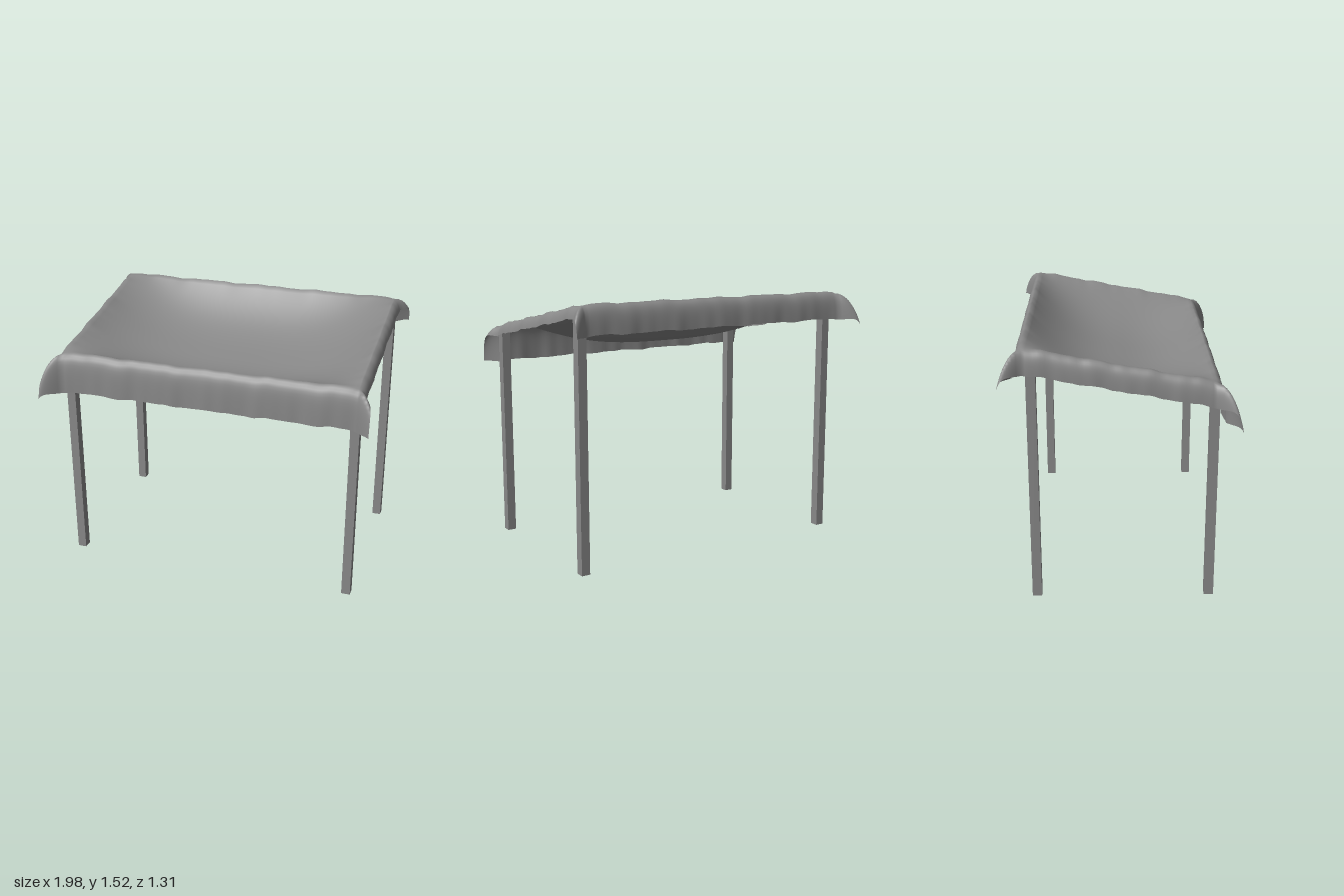
import * as THREE from 'three';

// Inner rectangle of the canopy (where it rests on the posts) and its overhangs
const X0 = -0.87, X1 = 0.90, Z0 = -0.54, Z1 = 0.50;
const HANG = { left: 0.095, right: 0.165, front: 0.265, back: 0.195 };
const BEND = 0.05; // softness of the fold over the rim
const GREY = 0x888888;

const rimHeight = (z) => 1.413 - 0.185 * z;

// Sample positions along one cloth axis: overhang, inner span, overhang
function samples(lo, hi, before, after, inner, outer) {
  const list = [];
  for (let i = 0; i < outer; i++) list.push(lo - before * (1 - i / outer));
  for (let i = 0; i <= inner; i++) list.push(lo + (hi - lo) * i / inner);
  for (let i = 1; i <= outer; i++) list.push(hi + after * i / outer);
  return list;
}

// Small irregular wave used for wrinkles
const wrinkle = (t) =>
  0.5 * Math.sin(17 * t + 0.6) + 0.3 * Math.sin(31 * t + 2.1) + 0.2 * Math.sin(53 * t);

// Maps a flat cloth point (s, t) to its draped place
function drape(s, t, target) {
  const x = THREE.MathUtils.clamp(s, X0, X1);
  const z = THREE.MathUtils.clamp(t, Z0, Z1);
  const ds = Math.abs(s - x), dt = Math.abs(t - z);
  const sx = Math.sign(s - x), sz = Math.sign(t - z);

  // Sag between the posts
  const u = Math.abs(2 * x - X0 - X1) / (X1 - X0);
  const v = Math.abs(2 * z - Z0 - Z1) / (Z1 - Z0);
  let y = rimHeight(z) - 0.2 * (1 - u ** 3) * (1 - v ** 2.6);

  // Wrinkles gather at the rim
  const wave = wrinkle(x) * v ** 16 + wrinkle(z * 1.4 + 1) * u ** 20;
  y += 0.006 * wave;

  // Overhang: rounded fold, then straight down; corners fan outwards
  const rho = Math.hypot(ds, dt);
  let ox = 0, oz = 0;
  if (rho > 0) {
    const spread = ds * dt / (ds + dt);
    const fan = spread * (1.3 - 4 * spread);
    const round = BEND * (1 - Math.exp(-rho / BEND));
    ox = sx * (fan + round * ds / rho + 0.03 * ds * wrinkle(z * 1.3));
    oz = sz * (fan + round * dt / rho + 0.03 * dt * wrinkle(x * 1.2));
    y -= Math.sqrt(Math.max(0, rho * rho - 2 * fan * fan)) - 0.6 * round;
  }
  target.set(x + ox, y, z + oz);
}

function canopyGeometry() {
  const xs = samples(X0, X1, HANG.right, HANG.left, 80, 12);
  const zs = samples(Z0, Z1, HANG.back, HANG.front, 50, 12);
  const geometry = new THREE.PlaneGeometry(1, 1, xs.length - 1, zs.length - 1);
  const position = geometry.attributes.position;
  const p = new THREE.Vector3();
  zs.forEach((t, j) => xs.forEach((s, i) => {
    drape(s, t, p);
    position.setXYZ(j * xs.length + i, p.x, p.y, p.z);
  }));
  geometry.computeVertexNormals();
  return geometry;
}

export function createModel() {
  const group = new THREE.Group();
  const material = new THREE.MeshStandardMaterial({ color: GREY });
  const clothMaterial = new THREE.MeshStandardMaterial({ color: GREY, side: THREE.DoubleSide });

  // Sagging cloth roof with hanging edges
  const canopy = new THREE.Mesh(canopyGeometry(), clothMaterial);
  canopy.name = 'clothCanopy';
  group.add(canopy);

  // Four square posts, taller at the back
  for (const [row, z, height] of [['front', 0.498, 1.28], ['back', -0.498, 1.44]]) {
    for (const [side, x] of [['Left', 0.895], ['Right', -0.828]]) {
      const post = new THREE.Mesh(new THREE.BoxGeometry(0.052, height, 0.054), material);
      post.position.set(x, height / 2, z);
      post.name = `${row}${side}Post`;
      group.add(post);
    }
  }
  return group;
}
